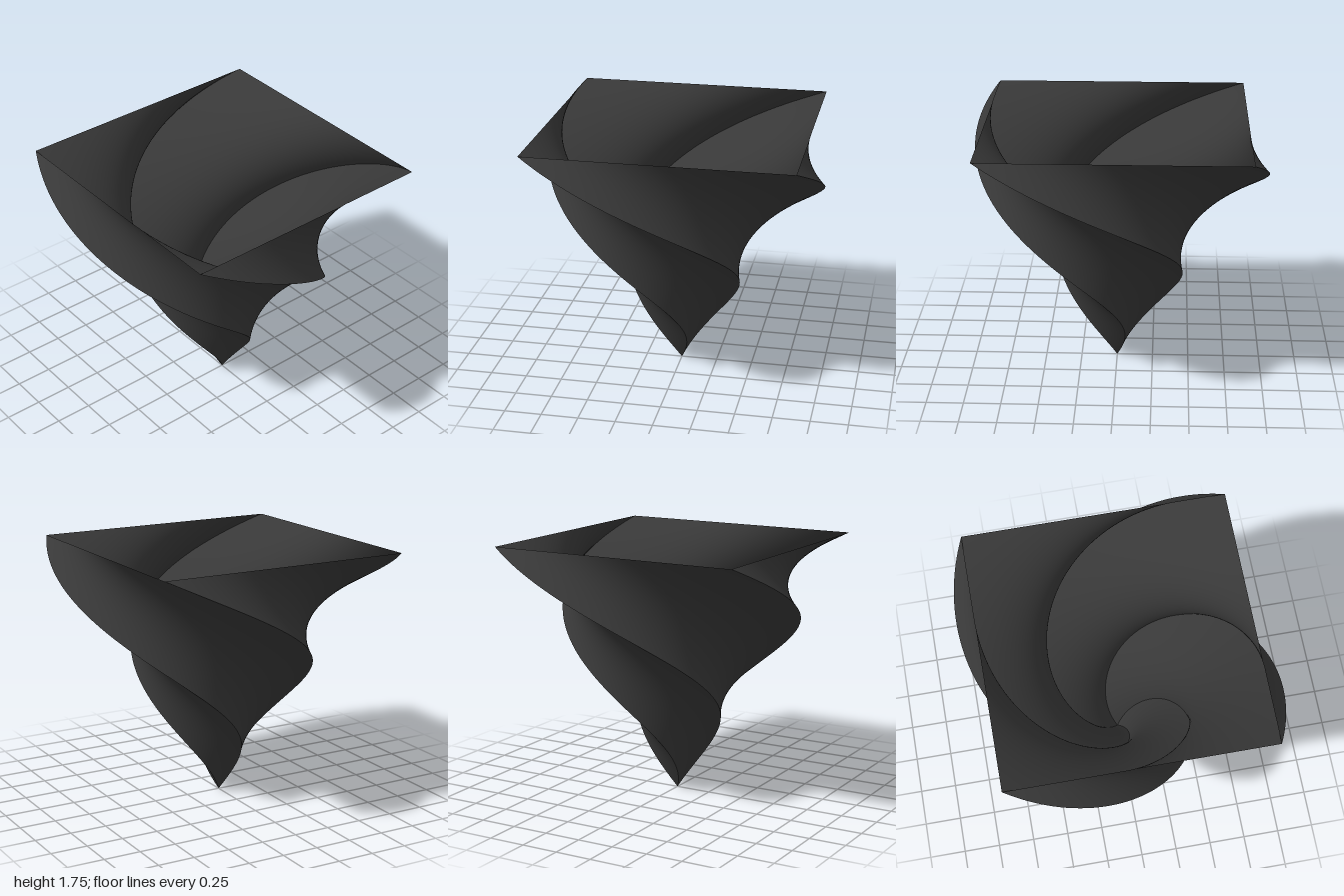
import * as THREE from 'three';

const HEIGHT = 1.746;
const HALF = 0.873; // half the width of the open square rim
const TWIST = Math.PI; // turn from tip to rim

// One wall: a flat triangle widening from the tip, twisted about the y axis
function twistedWall() {
  const geometry = new THREE.PlaneGeometry(2, 1, 32, 128);
  const position = geometry.attributes.position;
  const up = new THREE.Vector3(0, 1, 0);
  const p = new THREE.Vector3();
  for (let i = 0; i < position.count; i++) {
    const t = position.getY(i) + 0.5;
    p.set(position.getX(i) * HALF * t, t * HEIGHT, HALF * t);
    p.applyAxisAngle(up, TWIST * (1 - t));
    position.setXYZ(i, p.x, p.y, p.z);
  }
  geometry.computeVertexNormals();
  return geometry;
}

export function createModel() {
  const group = new THREE.Group();
  group.name = 'twistedPyramid';
  const material = new THREE.MeshStandardMaterial({ color: 0x383838, side: THREE.DoubleSide });
  const geometry = twistedWall();

  // Four walls meeting in sharp spiral ridges, open at the top
  ['frontWall', 'leftWall', 'backWall', 'rightWall'].forEach((name, i) => {
    const wall = new THREE.Mesh(geometry, material);
    wall.name = name;
    wall.rotation.y = (i * Math.PI) / 2;
    group.add(wall);
  });
  return group;
}
